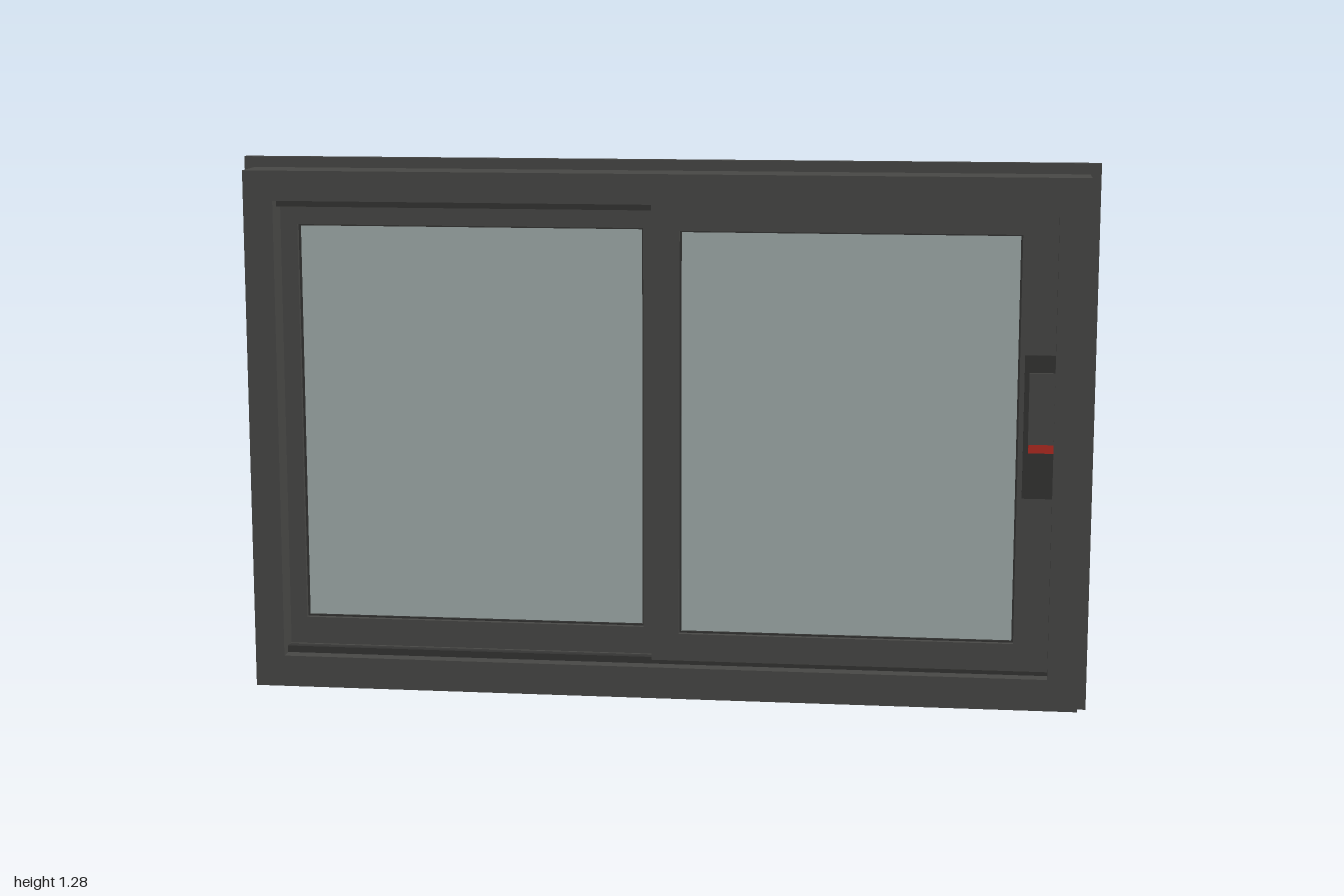
import * as THREE from 'three';

const paint = (color) => new THREE.MeshStandardMaterial({ color });
const frameMat = paint(0x474745);
const darkMat = paint(0x333332);
const glassMat = paint(0xa0acaa);
const redMat = paint(0xb02a20);

function add(group, name, geometry, material) {
  const mesh = new THREE.Mesh(geometry, material);
  mesh.name = name;
  group.add(mesh);
}

// Box given by its limits on each axis
function box(group, name, material, [x0, x1], [y0, y1], [z0, z1]) {
  const g = new THREE.BoxGeometry(x1 - x0, y1 - y0, z1 - z0);
  g.translate((x0 + x1) / 2, (y0 + y1) / 2, (z0 + z1) / 2);
  add(group, name, g, material);
}

// Rectangular ring: outer and inner are [x0, x1, y0, y1]
function ring(group, name, material, outer, inner, [z0, z1]) {
  const trace = (path, [x0, x1, y0, y1]) =>
    path.moveTo(x0, y0).lineTo(x1, y0).lineTo(x1, y1).lineTo(x0, y1).closePath();
  const shape = trace(new THREE.Shape(), outer);
  shape.holes.push(trace(new THREE.Path(), inner));
  const g = new THREE.ExtrudeGeometry(shape, { depth: z1 - z0, bevelEnabled: false });
  g.translate(0, 0, z0);
  add(group, name, g, material);
}

// Sash: ring of stiles and rails, a glazing bead and a recessed pane
function sash(name, outer, pane, [z0, z1]) {
  const group = new THREE.Group();
  group.name = name;
  const [x0, x1, y0, y1] = pane;
  const mid = (z0 + z1) / 2;
  ring(group, 'sashFrame', frameMat, outer, pane, [z0, z1]);
  ring(group, 'glazingGasket', darkMat, pane,
    [x0 + 0.004, x1 - 0.004, y0 + 0.004, y1 - 0.004], [mid - 0.012, mid + 0.012]);
  box(group, 'glassPane', glassMat, [x0, x1], [y0, y1], [mid - 0.006, mid + 0.006]);
  return group;
}

export function createModel() {
  const model = new THREE.Group();
  model.name = 'slidingWindow';

  // Outer frame with the wider mounting flange at the back
  const opening = [-0.905, 0.905, 0.1, 1.19];
  ring(model, 'outerFrame', frameMat, [-0.975, 0.975, 0.025, 1.26], opening, [-0.045, 0.065]);
  ring(model, 'mountingFlange', frameMat, [-1, 1, 0, 1.285], opening, [-0.065, -0.045]);

  // Tracks along the sill and the head
  for (const z of [-0.025, 0.025]) {
    box(model, 'sillTrack', darkMat, [-0.905, 0.905], [0.1, 0.116], [z - 0.006, z + 0.006]);
    box(model, 'headTrack', darkMat, [-0.905, 0.905], [1.174, 1.19], [z - 0.006, z + 0.006]);
  }
  box(model, 'sillDivider', frameMat, [-0.905, 0.905], [0.1, 0.115], [-0.004, 0.004]);
  box(model, 'headDivider', frameMat, [-0.905, 0.905], [1.175, 1.19], [-0.004, 0.004]);

  // Fixed sash behind, sliding sash in front
  model.add(sash('rearSash', [-0.905, 0.025, 0.115, 1.175], [-0.865, -0.045, 0.18, 1.13], [-0.052, -0.003]));
  const front = sash('frontSash', [-0.02, 0.905, 0.115, 1.19], [0.045, 0.825, 0.18, 1.13], [0.003, 0.052]);
  model.add(front);

  // Latch on the closing stile
  const latch = new THREE.Group();
  latch.name = 'latch';
  box(latch, 'latchPlate', darkMat, [0.836, 0.905], [0.525, 0.857], [0.05, 0.056]);
  box(latch, 'latchGrip', frameMat, [0.847, 0.905], [0.652, 0.817], [0.056, 0.063]);
  box(latch, 'latchMarker', redMat, [0.848, 0.905], [0.632, 0.652], [0.056, 0.062]);
  front.add(latch);

  return model;
}
